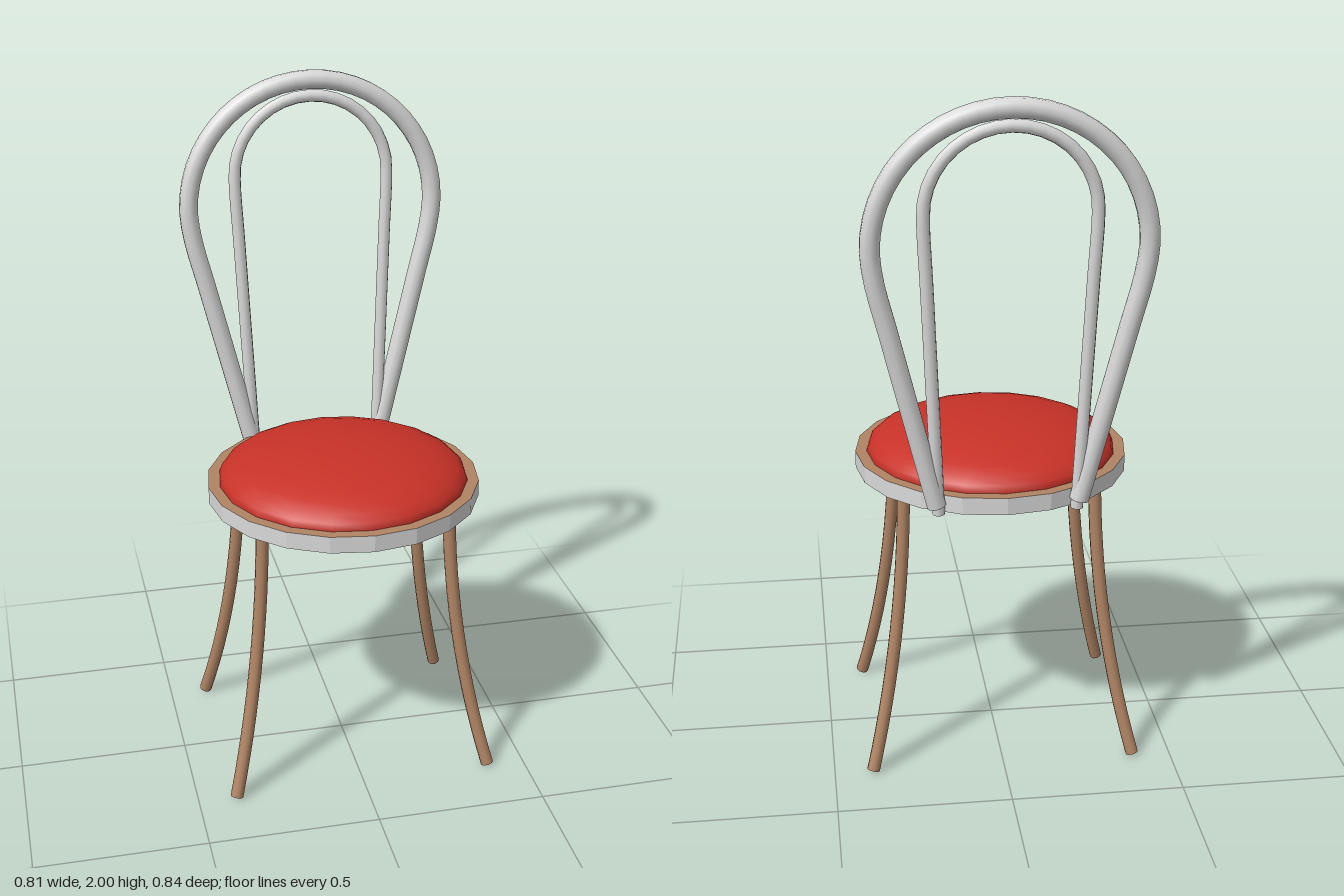
import * as THREE from 'three';

export function createModel() {
  const chair = new THREE.Group();
  const material = (name, color) => {
    const m = new THREE.MeshStandardMaterial({ color, side: THREE.DoubleSide });
    m.name = name;
    return m;
  };
  const metal = material('paleMetal', 0xd9d9d9);
  const wood = material('brownWood', 0xb08464);
  const fabric = material('redFabric', 0xc83228);

  const add = (parent, name, geometry, mat, x = 0, y = 0, z = 0) => {
    const mesh = new THREE.Mesh(geometry, mat);
    mesh.name = name;
    mesh.position.set(x, y, z);
    parent.add(mesh);
    return mesh;
  };

  // Round bar along a curve, closed at both ends
  const addBar = (name, curve, radius, mat, steps, sides = 10) => {
    const bar = new THREE.Group();
    bar.name = name;
    add(bar, name + 'Tube', new THREE.TubeGeometry(curve, steps, radius, sides), mat);
    for (const t of [0, 1]) {
      const p = curve.getPointAt(t);
      const out = curve.getTangentAt(t).multiplyScalar(t ? 1 : -1);
      const cap = add(bar, name + 'Cap', new THREE.CircleGeometry(radius, sides), mat, p.x, p.y, p.z);
      cap.lookAt(p.clone().add(out));
    }
    chair.add(bar);
  };

  // Seat: open faceted band, flat wooden rim and hollow domed cushion
  const SIDES = 20, SEAT_Z = 0.02, RIM_Y = 0.89;
  const band = new THREE.CylinderGeometry(0.4, 0.4, 0.05, SIDES, 1, true).toNonIndexed();
  band.computeVertexNormals();
  add(chair, 'seatBand', band, metal, 0, RIM_Y - 0.025, SEAT_Z);

  const rim = new THREE.RingGeometry(0.362, 0.4, SIDES).rotateX(-Math.PI / 2);
  add(chair, 'seatRim', rim, wood, 0, RIM_Y, SEAT_Z);

  const dome = new THREE.SphereGeometry(1, SIDES, 8, 0, Math.PI * 2, 0, Math.PI / 2);
  dome.scale(0.367, 0.1, 0.367);
  add(chair, 'seatCushion', dome, fabric, 0, RIM_Y, SEAT_Z);

  // Four legs splaying outward towards the floor
  for (const sx of [-1, 1]) {
    for (const sz of [-1, 1]) {
      const curve = new THREE.QuadraticBezierCurve3(
        new THREE.Vector3(sx * 0.275, 0.88, sz * 0.197),
        new THREE.Vector3(sx * 0.28, 0.42, sz * 0.202),
        new THREE.Vector3(sx * 0.387, 0.007, sz * 0.305));
      addBar((sz > 0 ? 'front' : 'back') + (sx > 0 ? 'Left' : 'Right') + 'Leg', curve, 0.019, wood, 14);
    }
  }

  // Backrest hoop: straight sides meeting a round arch, leaning gently back
  const hoopPath = (footX, footY, archRadius, archY, overhang) => {
    const at = (x, y) => new THREE.Vector3(x - 0.006, y, -0.335 - 0.05 * (y - 0.84));
    const points = [];
    const from = Math.PI + overhang, sweep = Math.PI + 2 * overhang;
    const start = at(archRadius * Math.cos(from), archY + archRadius * Math.sin(from));
    const foot = at(-footX, footY);
    for (let i = 0; i < 5; i++) points.push(foot.clone().lerp(start, i / 5));
    for (let i = 0; i <= 14; i++) {
      const a = from - sweep * i / 14;
      points.push(at(archRadius * Math.cos(a), archY + archRadius * Math.sin(a)));
    }
    const end = at(footX, footY);
    const last = points[points.length - 1].clone();
    for (let i = 1; i <= 5; i++) points.push(last.clone().lerp(end, i / 5));
    return new THREE.CatmullRomCurve3(points);
  };
  addBar('outerBackHoop', hoopPath(0.2, 0.86, 0.37, 1.602, 0.238), 0.028, metal, 60);
  addBar('innerBackHoop', hoopPath(0.194, 0.835, 0.23, 1.695, 0.05), 0.018, metal, 60);

  return chair;
}
